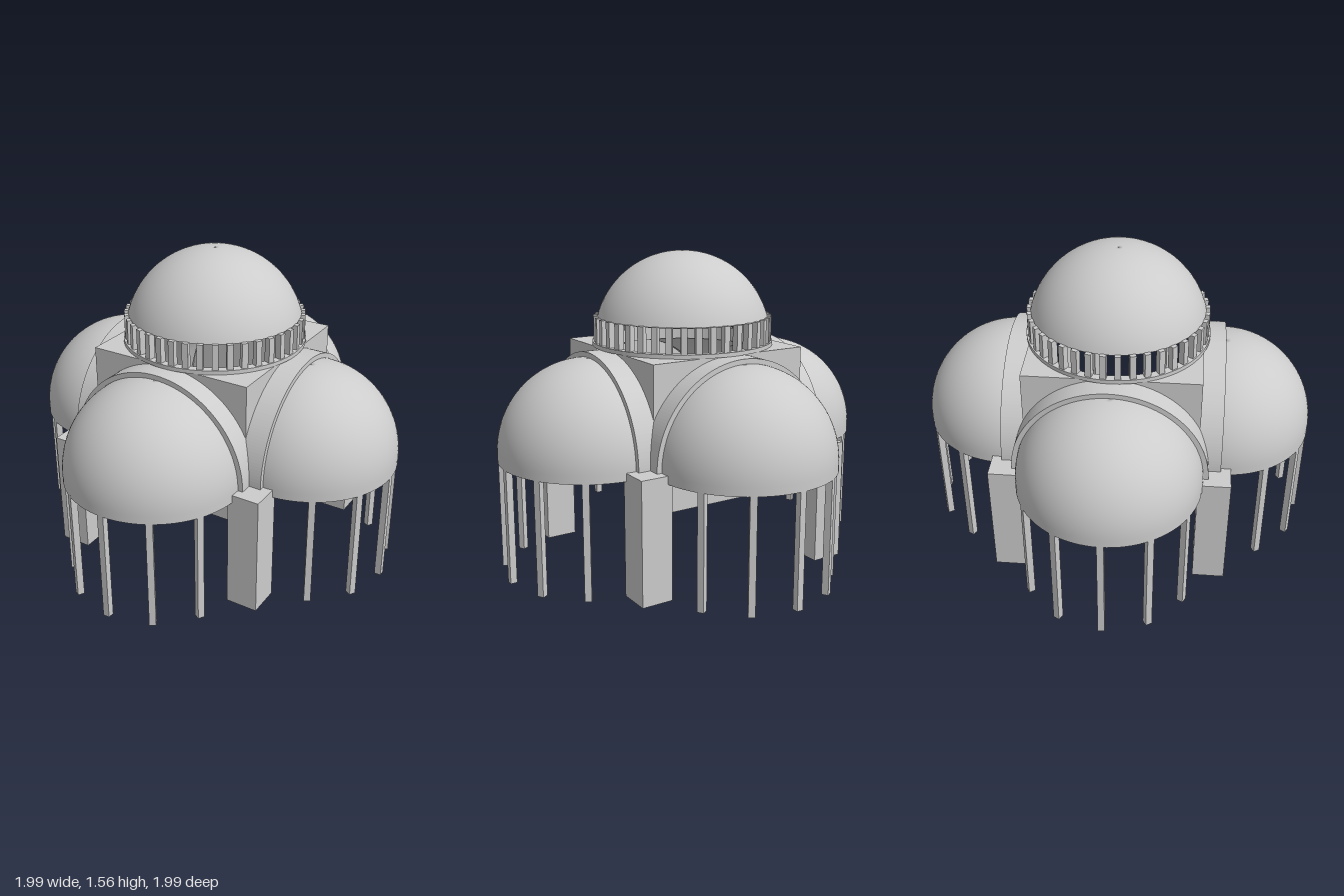
import * as THREE from 'three';

const stone = new THREE.MeshStandardMaterial({ color: 0xcccccc, side: THREE.DoubleSide });
stone.name = 'paleStone';

const BODY = 0.43;    // half width of the central block
const SPRING = 0.61;  // height where the arches spring
const TOP = 1.09;     // top of the central block
const HALF = 0.54;    // distance of half-dome centres from the middle

function add(parent, name, geometry, x = 0, y = 0, z = 0) {
  const mesh = new THREE.Mesh(geometry, stone);
  mesh.name = name;
  mesh.position.set(x, y, z);
  parent.add(mesh);
  return mesh;
}

// Hollow dome turned from an outer and an inner arc, with a sharp rim
function domeShell(outer, inner, startAngle, skirt, phiStart, phiLength, segments) {
  const out = [], ins = [], n = 28;
  for (let i = 0; i <= n; i++) {
    const a = startAngle + (Math.PI / 2 - startAngle) * i / n;
    const c = i === n ? 0 : Math.cos(a);
    out.push(new THREE.Vector2(outer * c, outer * Math.sin(a)));
    ins.unshift(new THREE.Vector2(inner * c, inner * Math.sin(a)));
  }
  if (skirt) {
    out.unshift(new THREE.Vector2(outer, -skirt));
    ins.push(new THREE.Vector2(inner, -skirt));
  }
  // doubled points keep the rim corners crisp
  const last = ins[ins.length - 1];
  const points = [...out, ...ins, last.clone(), out[0].clone()];
  return new THREE.LatheGeometry(points, segments, phiStart, phiLength);
}

// Curved triangles that carry the round dome on the square block
function pendentives() {
  const R2 = 2 * BODY * BODY, nu = 96, nv = 10, pos = [], index = [];
  for (let i = 0; i <= nu; i++) {
    const a = i / nu * Math.PI * 2, c = Math.cos(a), s = Math.sin(a);
    const edge = BODY / Math.max(Math.abs(c), Math.abs(s));
    for (let j = 0; j <= nv; j++) {
      const r = BODY + (edge - BODY) * j / nv;
      pos.push(r * c, Math.sqrt(Math.max(0, R2 - r * r)), r * s);
      if (i < nu && j < nv) {
        const k = i * (nv + 1) + j, m = k + nv + 1;
        index.push(k, k + 1, m, k + 1, m + 1, m);
      }
    }
  }
  const g = new THREE.BufferGeometry();
  g.setAttribute('position', new THREE.Float32BufferAttribute(pos, 3));
  g.setIndex(index);
  g.computeVertexNormals();
  return g;
}

// One side of the building: block face, arch, half dome and its columns
function makeSide() {
  const side = new THREE.Group();

  const face = new THREE.Shape();
  face.moveTo(BODY, 0);
  face.lineTo(BODY, TOP - SPRING);
  face.lineTo(-BODY, TOP - SPRING);
  face.lineTo(-BODY, 0);
  face.absarc(0, 0, BODY, Math.PI, 0, true);
  add(side, 'blockFace', new THREE.ShapeGeometry(face, 48), 0, SPRING, BODY);

  const arch = new THREE.Shape();
  arch.absarc(0, 0, 0.48, 0, Math.PI, false);
  arch.absarc(0, 0, BODY, Math.PI, 0, true);
  add(side, 'arch', new THREE.ExtrudeGeometry(arch,
    { depth: HALF - BODY, bevelEnabled: false, curveSegments: 48 }), 0, SPRING, BODY);

  add(side, 'halfDome',
    domeShell(0.455, 0.432, 0, 0.04, -Math.PI / 2, Math.PI, 48), 0, SPRING, HALF);

  for (let i = -2; i <= 2; i++) {
    const a = i * Math.PI / 6, r = 0.438;
    const column = add(side, 'column', new THREE.BoxGeometry(0.033, 0.58, 0.033),
      r * Math.sin(a), 0.29, HALF + r * Math.cos(a));
    column.rotation.y = a;
  }
  return side;
}

export function createModel() {
  const model = new THREE.Group();
  model.name = 'domedHall';

  ['front', 'left', 'back', 'right'].forEach((name, i) => {
    const side = makeSide();
    side.name = name + 'Side';
    side.rotation.y = i * Math.PI / 2;
    model.add(side);
  });

  // corner piers
  for (const x of [-0.51, 0.51]) for (const z of [-0.51, 0.51])
    add(model, 'pier', new THREE.BoxGeometry(0.16, SPRING, 0.16), x, SPRING / 2, z);

  // screen walls filling the front and back arches
  const wall = new THREE.Shape();
  wall.moveTo(-BODY, 0.39);
  wall.lineTo(BODY, 0.39);
  wall.lineTo(BODY, SPRING);
  wall.absarc(0, SPRING, BODY, 0, Math.PI, false);
  wall.closePath();
  const wallGeo = new THREE.ExtrudeGeometry(wall,
    { depth: 0.03, bevelEnabled: false, curveSegments: 48 });
  add(model, 'frontScreenWall', wallGeo, 0, 0, 0.46);
  add(model, 'backScreenWall', wallGeo, 0, 0, -0.49);

  // pendentives and the roof of the block with its round opening
  add(model, 'pendentives', pendentives(), 0, SPRING, 0);
  const roof = new THREE.Shape();
  roof.moveTo(-BODY, -BODY);
  roof.lineTo(BODY, -BODY);
  roof.lineTo(BODY, BODY);
  roof.lineTo(-BODY, BODY);
  roof.closePath();
  const hole = new THREE.Path();
  hole.absarc(0, 0, 0.42, 0, Math.PI * 2, true);
  roof.holes.push(hole);
  const roofGeo = new THREE.ExtrudeGeometry(roof,
    { depth: 0.05, bevelEnabled: false, curveSegments: 64 });
  roofGeo.rotateX(-Math.PI / 2);
  add(model, 'blockRoof', roofGeo, 0, TOP - 0.05, 0);

  // base ring under the main dome
  const ring = new THREE.Shape();
  ring.absarc(0, 0, 0.46, 0, Math.PI * 2, false);
  ring.holes.push(hole);
  const ringGeo = new THREE.ExtrudeGeometry(ring,
    { depth: 0.02, bevelEnabled: false, curveSegments: 64 });
  ringGeo.rotateX(-Math.PI / 2);
  add(model, 'baseRing', ringGeo, 0, TOP, 0);

  // ribs with open windows between them
  const ribs = new THREE.Group();
  ribs.name = 'windowRibs';
  const count = 40;
  for (let i = 0; i < count; i++) {
    const a = (i + 0.5) / count * Math.PI * 2, r = 0.436;
    const rib = add(ribs, 'rib', new THREE.BoxGeometry(0.03, 0.13, 0.034),
      r * Math.sin(a), 1.17, r * Math.cos(a));
    rib.rotation.y = a;
  }
  model.add(ribs);

  // main dome
  add(model, 'mainDome',
    domeShell(0.45, 0.425, Math.asin(0.122 / 0.45), 0, 0, Math.PI * 2, 80), 0, 1.11, 0);

  return model;
}
